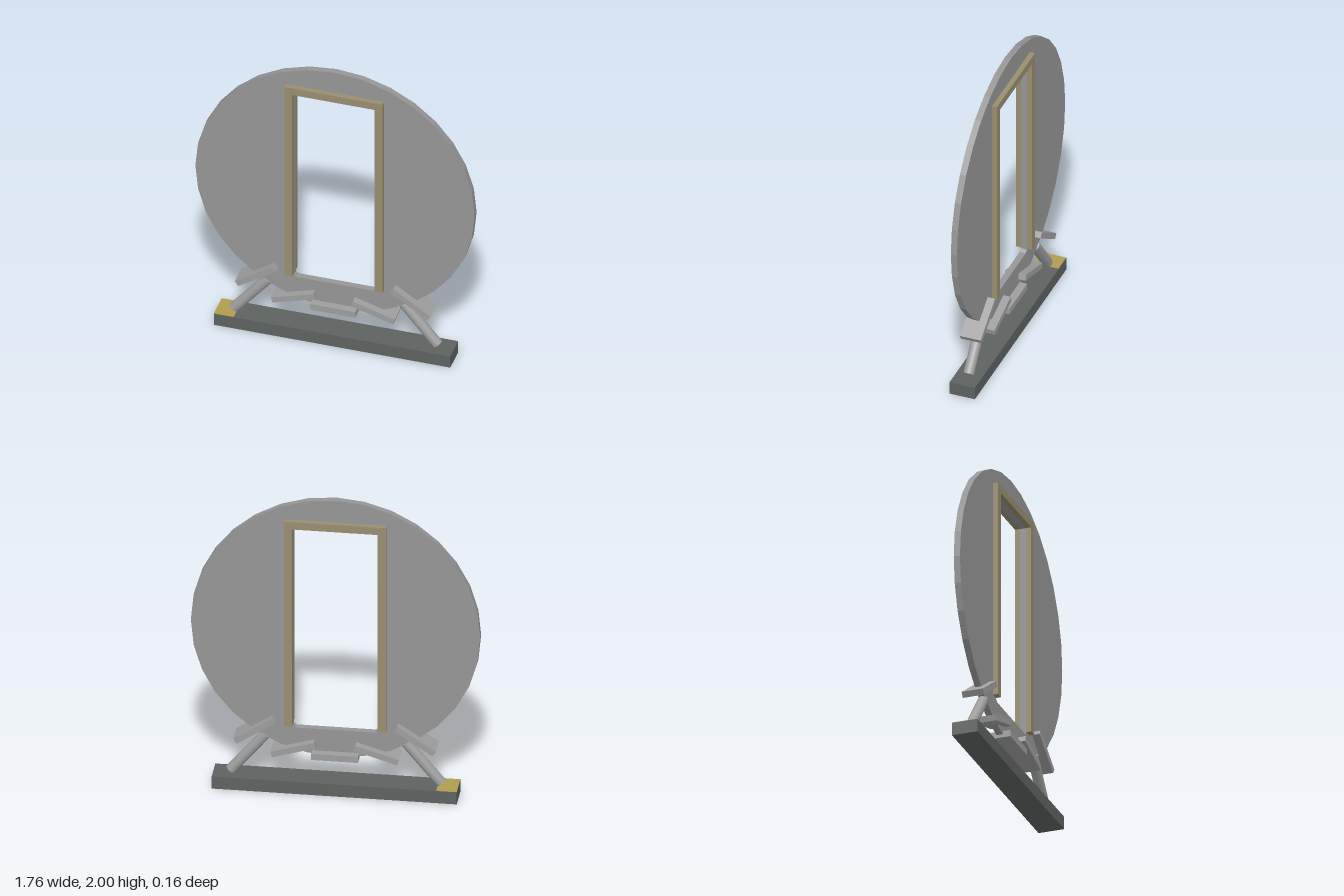
import * as THREE from 'three';

const mat = (name, color) => {
  const m = new THREE.MeshStandardMaterial({ color });
  m.name = name;
  return m;
};

export function createModel() {
  const group = new THREE.Group();
  const stone = mat('stone grey', 0x969696);
  const metal = mat('light grey metal', 0x9e9e9e);
  const tan = mat('tan frame', 0x998e70);
  const dark = mat('dark grey base', 0x5d6261);
  const gold = mat('gold', 0xb09c50);

  const add = (name, geometry, material, x = 0, y = 0, z = 0, tilt = 0) => {
    const mesh = new THREE.Mesh(geometry, material);
    mesh.name = name;
    mesh.position.set(x, y, z);
    mesh.rotation.z = tilt;
    group.add(mesh);
    return mesh;
  };
  const box = (name, material, w, h, d, x, y, z = 0, tilt = 0) =>
    add(name, new THREE.BoxGeometry(w, h, d), material, x, y, z, tilt);

  // 32-sided disc with a doorway cut through it
  const R = 0.88, cy = 1.12, hw = 0.259;
  const outline = [];
  for (let i = 0; i < 32; i++) {
    const a = (i / 32) * Math.PI * 2;
    outline.push(new THREE.Vector2(R * Math.cos(a), cy + R * Math.sin(a)));
  }
  const disc = new THREE.Shape(outline);
  disc.holes.push(new THREE.Path([
    [-hw, 1.799], [hw, 1.799], [hw, 0.438], [hw - 0.018, 0.423],
    [-hw + 0.018, 0.423], [-hw, 0.438],
  ].map(([x, y]) => new THREE.Vector2(x, y))));
  add('disc', new THREE.ExtrudeGeometry(disc, { depth: 0.04, bevelEnabled: false }),
    stone, 0, 0, -0.02);

  // Door frame: two jambs and a lintel in one piece, open at the bottom
  const frame = new THREE.Shape([
    [-0.31, 0.443], [-0.26, 0.443], [-0.26, 1.8], [0.26, 1.8],
    [0.26, 0.443], [0.31, 0.443], [0.31, 1.85], [-0.31, 1.85],
  ].map(([x, y]) => new THREE.Vector2(x, y)));
  add('doorFrame', new THREE.ExtrudeGeometry(frame, { depth: 0.104, bevelEnabled: false }),
    tan, 0, 0, -0.052);

  // Base beam with a gold patch on its right end
  box('base', dark, 1.49, 0.083, 0.164, 0, 0.0415);
  box('basePatch', gold, 0.125, 0.003, 0.162, -0.6825, 0.0835);

  // Cradle plates and slanted struts
  box('centrePlate', metal, 0.285, 0.042, 0.136, 0, 0.254);
  const top = new THREE.Vector2(0.425, 0.36), foot = new THREE.Vector2(0.64, 0.098);
  const run = top.clone().sub(foot);
  for (const [side, s] of [['left', 1], ['right', -1]]) {
    box(side + 'InnerPlate', metal, 0.277, 0.038, 0.136, s * 0.2525, 0.2925, 0, -s * 0.291);
    box(side + 'OuterPlate', metal, 0.283, 0.038, 0.136, s * 0.488, 0.405, 0, -s * 0.585);
    add(side + 'Strut', new THREE.CylinderGeometry(0.033, 0.033, run.length(), 20), metal,
      s * (top.x + foot.x) / 2, (top.y + foot.y) / 2, 0, s * Math.atan2(-run.x, run.y));
  }
  return group;
}
